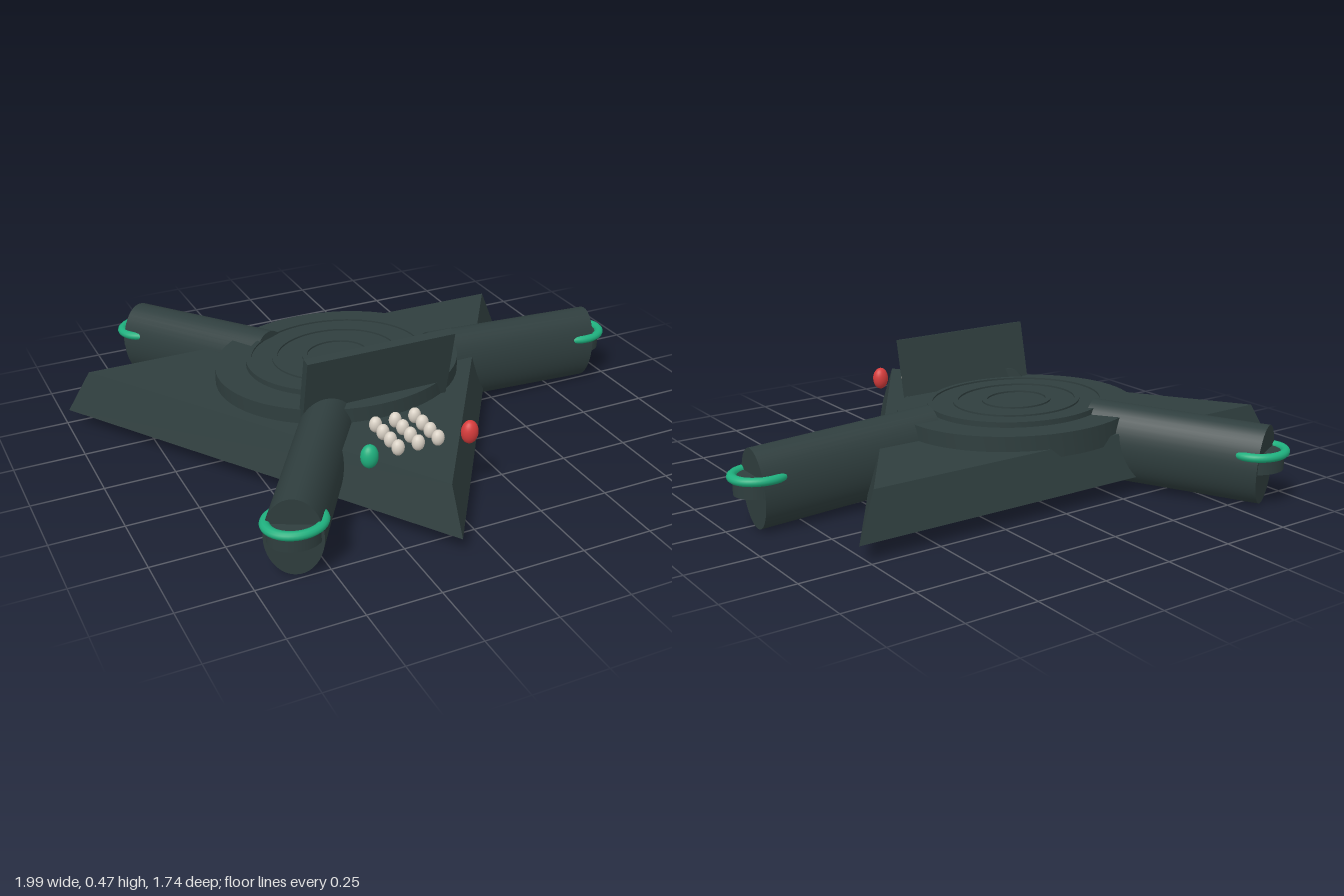
import * as THREE from 'three';
import { toCreasedNormals } from 'three/addons/utils/BufferGeometryUtils.js';

export function createModel() {
  const mat = (name, color) => {
    const m = new THREE.MeshStandardMaterial({ color });
    m.name = name;
    return m;
  };
  const slate = mat('dark slate', 0x2f3e3e);
  const green = mat('green', 0x1fb07e);
  const red = mat('red', 0xd63c3c);
  const ivory = mat('ivory', 0xd8d0c4);

  const add = (parent, name, geometry, material, x = 0, y = 0, z = 0) => {
    const mesh = new THREE.Mesh(geometry, material);
    mesh.name = name;
    mesh.position.set(x, y, z);
    parent.add(mesh);
    return mesh;
  };

  const model = new THREE.Group();
  model.name = 'ship';

  // Everything is built with threefold symmetry, then stretched sideways
  const body = new THREE.Group();
  body.name = 'body';
  body.position.set(-0.105, 0, -0.035);
  body.scale.x = 1.145;
  model.add(body);

  // Triangular hull with sloping sides
  const hull = toCreasedNormals(new THREE.CylinderGeometry(0.817, 0.895, 0.155, 3), 0.3);
  add(body, 'hull', hull, slate, 0, 0.143, 0);

  // Stepped disc with shallow concentric ridges
  const profile = [[0, 0.19], [0.385, 0.19], [0.385, 0.273], [0.288, 0.273], [0.288, 0.292], [0.272, 0.292], [0.272, 0.286]];
  for (const [outer, inner] of [[0.206, 0.19], [0.112, 0.095]]) {
    profile.push([outer, 0.286], [outer, 0.292], [inner, 0.292], [inner, 0.286]);
  }
  profile.push([0, 0.286]);
  const disc = new THREE.LatheGeometry(profile.map(([r, y]) => new THREE.Vector2(r, y)), 64);
  add(body, 'disc', toCreasedNormals(disc, 0.6), slate, 0, 0, -0.04);

  // Three pods of oval section, each with an end drum and a ring
  const podGeometry = new THREE.CylinderGeometry(1, 1, 0.591, 40);
  podGeometry.rotateZ(Math.PI / 2).scale(1, 0.139, 0.084).rotateZ(-0.05);
  for (let i = 0; i < 3; i++) {
    const arm = new THREE.Group();
    arm.name = 'arm' + (i + 1);
    arm.rotation.y = (i * Math.PI * 2) / 3;
    body.add(arm);
    add(arm, 'pod', podGeometry, slate, 0.592, 0.159, 0);
    add(arm, 'endDrum', new THREE.CylinderGeometry(0.078, 0.078, 0.062, 40), slate, 0.867, 0.162, 0);
    const ring = new THREE.TorusGeometry(0.08, 0.015, 12, 48).rotateX(Math.PI / 2);
    add(arm, 'ring', ring, green, 0.867, 0.191, 0);
  }

  // Leaning panel at the front of the disc
  const panel = add(model, 'panel', new THREE.BoxGeometry(0.54, 0.255, 0.033), slate, -0.105, 0.348, 0.254);
  panel.rotation.x = 0.22;

  // Grid of small studs
  const stud = new THREE.SphereGeometry(1, 16, 12).scale(0.022, 0.028, 0.02);
  for (let col = -1; col <= 1; col++) {
    for (let row = 0; row < 4; row++) {
      add(model, 'stud', stud, ivory, -0.105 + col * 0.072, 0.25, 0.39 + row * 0.055);
    }
  }

  // Side lamps
  const lamp = new THREE.SphereGeometry(1, 24, 16).scale(0.03, 0.041, 0.026);
  add(model, 'leftLamp', lamp, red, 0.075, 0.253, 0.57);
  add(model, 'rightLamp', lamp, green, -0.285, 0.253, 0.57);

  return model;
}
